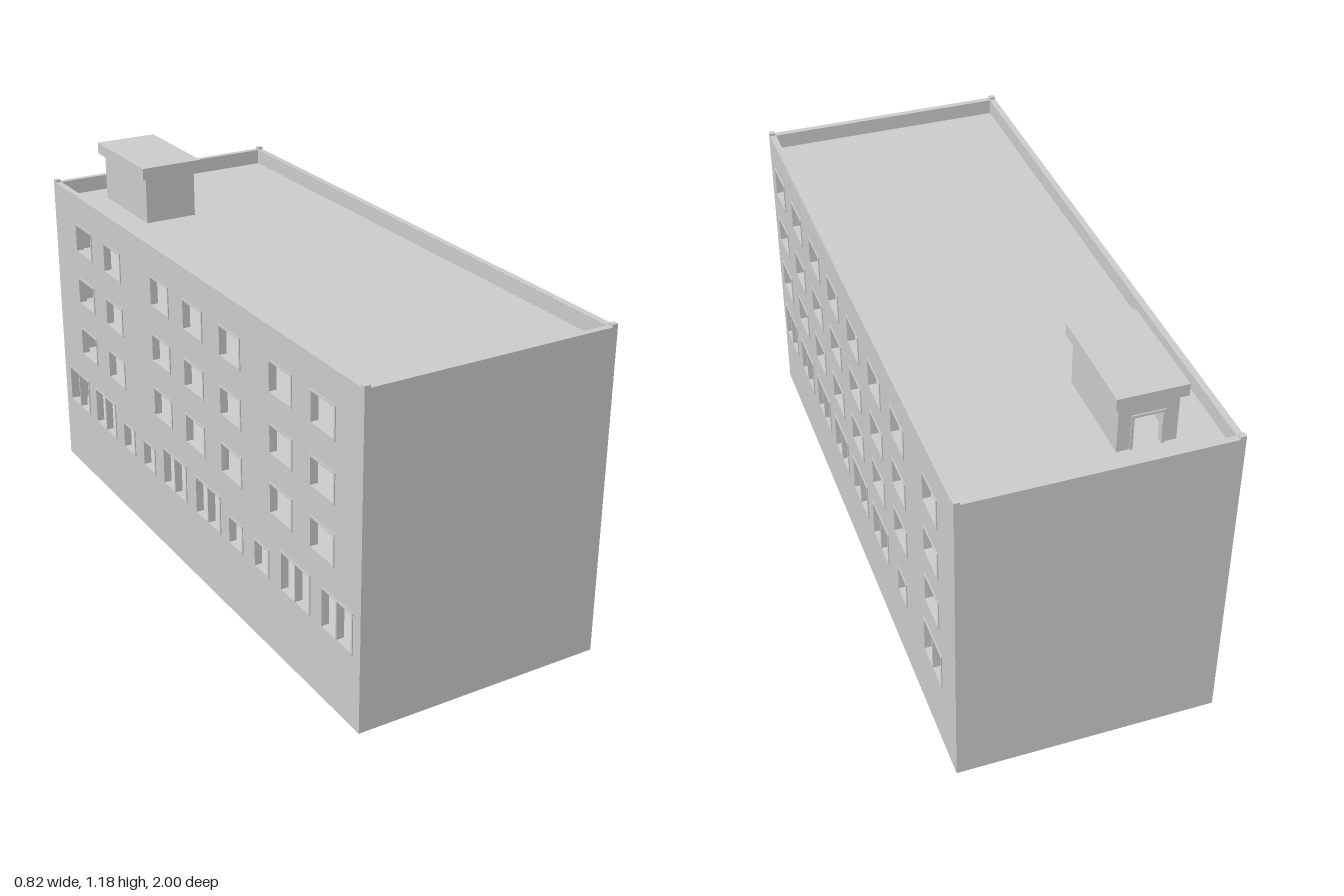
import * as THREE from 'three';

const HX = 0.407, HZ = 1, WALL = 0.02, TOP = 1.04, ROOF = 0.99;
const STOREY = 0.1905, FLOOR0 = 0.214;

export function createModel() {
  const model = new THREE.Group();
  const mat = new THREE.MeshStandardMaterial({ color: 0xcccccc });

  const add = (name, geo, parent = model) => {
    const mesh = new THREE.Mesh(geo, mat);
    mesh.name = name;
    parent.add(mesh);
    return mesh;
  };
  // Box given by its limits on each axis
  const box = (name, x0, x1, y0, y1, z0, z1, parent) =>
    add(name, new THREE.BoxGeometry(x1 - x0, y1 - y0, z1 - z0), parent)
      .position.set((x0 + x1) / 2, (y0 + y1) / 2, (z0 + z1) / 2);

  const trace = (path, a0, a1, y0, y1) =>
    path.moveTo(a0, y0).lineTo(a1, y0).lineTo(a1, y1).lineTo(a0, y1).closePath();

  // Upright panel with rectangular holes; limits are [a0, a1, y0, y1]
  const panel = (outer, holes, depth) => {
    const shape = trace(new THREE.Shape(), ...outer);
    for (const h of holes) shape.holes.push(trace(new THREE.Path(), ...h));
    return new THREE.ExtrudeGeometry(shape, { depth, bevelEnabled: false });
  };
  // The same panel lying in the z-y plane, from x0 to x0 + depth
  const flip = ([z0, z1, y0, y1]) => [-z1, -z0, y0, y1];
  const sidePanel = (name, x0, outer, holes, depth, parent) =>
    add(name, panel(flip(outer), holes.map(flip), depth).rotateY(Math.PI / 2), parent).position.x = x0;

  // Window limits: three upper rows plus the ground row of wide and small windows
  const rows = [[0.457, 0.56], [0.648, 0.746], [0.837, 0.94]];
  const windowList = (upper, wide, small) => [
    ...upper.flatMap(z => rows.map(([y0, y1]) => [z - 0.065, z + 0.065, y0, y1])),
    ...wide.map(z => [z - 0.083, z + 0.083, 0.233, 0.366]),
    ...small.map(z => [z - 0.045, z + 0.045, 0.233, 0.33]),
  ];
  const columns = Array.from({ length: 7 }, (_, i) => 0.875 - 0.2285 * i);
  const facades = [
    [1, 'left', windowList([...columns, -0.795], [...columns.slice(0, 6), -0.795], [columns[6]])],
    [-1, 'right', windowList([0.8, 0.575, 0.28, 0.045, -0.18, -0.532, -0.76],
      [0.88, 0.655, 0.12, -0.11, -0.645, -0.87], [0.46, 0.3, -0.3, -0.455])],
  ];

  // Long facades with framed windows
  for (const [side, label, windows] of facades) {
    sidePanel(label + 'Facade', side > 0 ? HX - WALL : -HX, [-HZ, HZ, 0, TOP], windows, WALL);
    const frames = new THREE.Group();
    frames.name = label + 'WindowFrames';
    model.add(frames);
    for (const [z0, z1, y0, y1] of windows) {
      const f = 0.006, mid = (z0 + z1) / 2;
      const panes = z1 - z0 > 0.15
        ? [[z0 + f, mid - f / 2, y0 + f, y1 - f], [mid + f / 2, z1 - f, y0 + f, y1 - f]]
        : [[z0 + f, z1 - f, y0 + f, y1 - f]];
      const depth = WALL + 0.005;
      sidePanel('windowFrame', side > 0 ? HX + 0.003 - depth : -HX - 0.003, [z0, z1, y0, y1], panes, depth, frames);
    }
  }

  // Plain end walls, base and roof
  const ix = HX - WALL, iz = HZ - WALL;
  box('frontWall', -ix, ix, 0, TOP, iz, HZ);
  box('backWall', -ix, ix, 0, TOP, -HZ, -iz);
  box('base', -ix, ix, 0, 0.02, -iz, iz);
  box('roof', -ix, ix, ROOF - 0.02, ROOF, -iz, iz);

  // Small posts on the parapet corners
  for (const sx of [-1, 1]) for (const sz of [-1, 1]) {
    const post = add('cornerPost', new THREE.BoxGeometry(0.018, 0.02, 0.018));
    post.position.set(sx * (HX - 0.009), 1.038, sz * (HZ - 0.009));
  }

  // Floors, and a spine wall with doorways and inner openings
  const openings = [];
  for (let s = 0; s < 4; s++) {
    const y = FLOOR0 + STOREY * s;
    box('floor', -ix, ix, y - 0.015, y, -iz, iz);
    columns.forEach((z, i) => {
      if (i % 2) openings.push([z - 0.048, z + 0.048, y + 0.002, y + 0.115]);
      else openings.push([z - 0.065, z + 0.065, y + 0.055, y + 0.157]);
    });
  }
  sidePanel('spineWall', -0.0075, [-iz, iz, 0.02, ROOF - 0.02], openings, 0.015);

  // Roof access hut with a doorway at the back
  const hut = new THREE.Group();
  hut.name = 'roofHut';
  model.add(hut);
  const [hx0, hx1, hz0, hz1, eave] = [-0.26, -0.085, -0.885, -0.565, 1.145];
  const door = [-0.222, -0.123, ROOF, 1.104];
  const t = 0.015;
  box('hutSideWall', hx0, hx0 + t, ROOF, eave, hz0, hz1, hut);
  box('hutSideWall', hx1 - t, hx1, ROOF, eave, hz0, hz1, hut);
  box('hutFrontWall', hx0 + t, hx1 - t, ROOF, eave, hz1 - t, hz1, hut);
  box('hutBackWall', hx0 + t, door[0], ROOF, eave, hz0, hz0 + t, hut);
  box('hutBackWall', door[1], hx1 - t, ROOF, eave, hz0, hz0 + t, hut);
  box('hutLintel', door[0], door[1], door[3], eave, hz0, hz0 + t, hut);
  box('hutRoof', -0.278, -0.07, eave, 1.183, -0.902, -0.545, hut);
  // Door frame standing slightly proud of the wall
  const d0 = hz0 - 0.004, d1 = hz0 + t + 0.004, w = 0.008;
  box('doorJamb', door[0], door[0] + w, ROOF, door[3], d0, d1, hut);
  box('doorJamb', door[1] - w, door[1], ROOF, door[3], d0, d1, hut);
  box('doorHead', door[0] + w, door[1] - w, door[3] - w, door[3], d0, d1, hut);

  return model;
}
